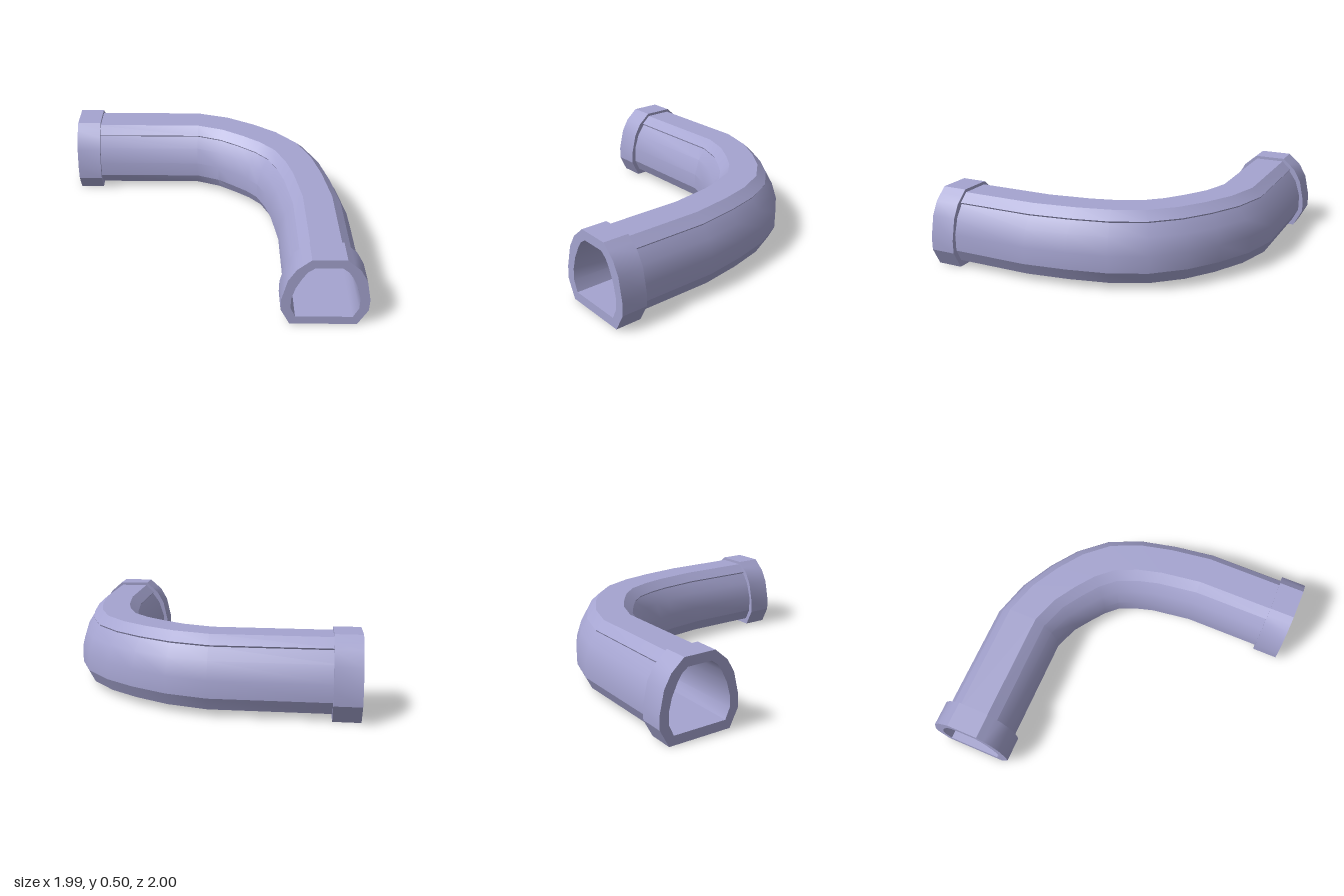
import * as THREE from 'three';
import { toCreasedNormals } from 'three/addons/utils/BufferGeometryUtils.js';

// Half profiles [offset from centre line, height], bottom to top
const PIPE = [[0.2, 0.045], [0.24, 0.125], [0.24, 0.235], [0.205, 0.345], [0.152, 0.42], [0.158, 0.43], [0.097, 0.485]];
const COLLAR = [[0.21, 0], [0.27, 0.115], [0.27, 0.2], [0.238, 0.345], [0.19, 0.43], [0.105, 0.505]];
const BORE = [[0.178, 0.06], [0.21, 0.13], [0.21, 0.205], [0.188, 0.29], [0.15, 0.37], [0.12, 0.415], [0.08, 0.445]];

// Stations along the elbow: [outer x, outer z, inner x, inner z]
const BEND = [
  [-0.09, -0.97, -0.09, -0.49],
  [0.17, -0.9, 0.07, -0.43],
  [0.4, -0.78, 0.18, -0.355],
  [0.59, -0.645, 0.28, -0.28],
  [0.76, -0.46, 0.35, -0.2],
  [0.86, -0.23, 0.405, -0.085],
  [0.92, 0.03, 0.44, 0.035],
  [0.96, 0.31, 0.48, 0.31],
];
const alongX = (x) => [x, -0.97, x, -0.49];
const alongZ = (z) => [0.96, z, 0.48, z];

// Mirrors a half profile and stands it up at a station
function ring(half, [ox, oz, ix, iz]) {
  const len = Math.hypot(ox - ix, oz - iz);
  const ux = (ox - ix) / len, uz = (oz - iz) / len;
  const mx = (ox + ix) / 2, mz = (oz + iz) / 2;
  const full = [...half, ...half.map(([a, y]) => [-a, y]).reverse()];
  return full.map(([a, y]) => [mx + ux * a, y, mz + uz * a]);
}

// Skins consecutive rings; rings of different counts are joined by nearest height step
function loft(rings) {
  const pos = [];
  for (let i = 0; i < rings.length - 1; i++) {
    const p = rings[i], q = rings[i + 1], n = p.length;
    for (let j = 0; j < n; j++) {
      const k = (j + 1) % n;
      pos.push(...p[j], ...p[k], ...q[k], ...p[j], ...q[k], ...q[j]);
    }
  }
  const g = new THREE.BufferGeometry();
  g.setAttribute('position', new THREE.Float32BufferAttribute(pos, 3));
  return toCreasedNormals(g, THREE.MathUtils.degToRad(25));
}

export function createModel() {
  const group = new THREE.Group();
  const lavender = new THREE.MeshStandardMaterial({ color: 0xa5a4d0 });
  lavender.name = 'lavender';
  const add = (name, rings) => {
    const mesh = new THREE.Mesh(loft(rings), lavender);
    mesh.name = name;
    group.add(mesh);
  };

  // Outer wall, ending inside the collars
  const wall = [alongX(-0.9), ...BEND, alongZ(0.9)];
  add('pipeWall', wall.map((s) => ring(PIPE, s)));

  // Hollow bore, faces pointing inward
  const bore = [alongX(-1), ...BEND, alongZ(1)].reverse();
  add('pipeBore', bore.map((s) => ring(BORE, s)));

  // Collars with an open mouth; one top point is doubled to match the bore count
  const collar = [...COLLAR.slice(0, 5), [0.1475, 0.4675], COLLAR[5]];
  const addCollar = (name, a, b) => add(name, [ring(BORE, a), ring(collar, a), ring(collar, b), ring(BORE, b)]);
  addCollar('sideCollar', alongX(-1), alongX(-0.83));
  addCollar('frontCollar', alongZ(0.83), alongZ(1));

  return group;
}
